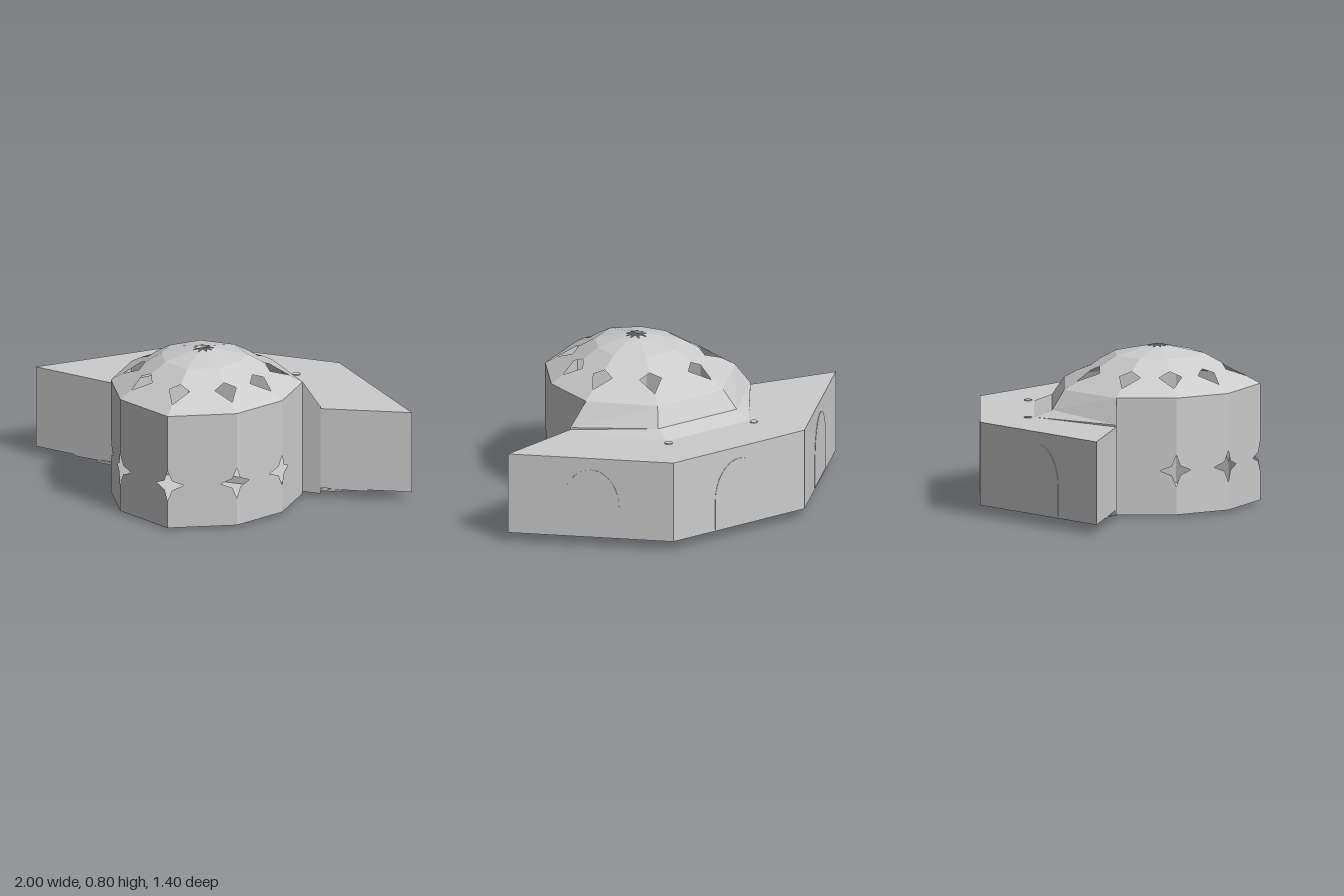
import * as THREE from 'three';

const stone = new THREE.MeshStandardMaterial({ color: 0xcccccc, flatShading: true, side: THREE.DoubleSide });
stone.name = 'pale stone';

const FULL = [[0, 0], [1, 0], [1, 1], [0, 1]];
const V = (x, y, z) => new THREE.Vector3(x, y, z);
const toShape = pts => new THREE.Shape(pts.map(p => new THREE.Vector2(p[0], p[1])));

// Flat panel: an outline in unit coordinates stretched over the corners a, b (bottom) and c, d (top)
function panel(name, a, b, c, d, outline = FULL) {
  const geo = new THREE.ShapeGeometry(toShape(outline));
  const pos = geo.attributes.position;
  for (let i = 0; i < pos.count; i++) {
    const s = pos.getX(i), t = pos.getY(i);
    const p = a.clone().lerp(b, s).lerp(d.clone().lerp(c, s), t);
    pos.setXYZ(i, p.x, p.y, p.z);
  }
  geo.computeVertexNormals();
  const mesh = new THREE.Mesh(geo, stone);
  mesh.name = name;
  return mesh;
}

// Horizontal slab from a plan outline given as [x, z]
function slab(name, plan, y0, y1) {
  const geo = new THREE.ExtrudeGeometry(toShape(plan.map(([x, z]) => [x, -z])), { depth: y1 - y0, bevelEnabled: false });
  geo.rotateX(-Math.PI / 2);
  geo.translate(0, y0, 0);
  const mesh = new THREE.Mesh(geo, stone);
  mesh.name = name;
  return mesh;
}

// Complete a right-hand plan by mirroring it in x
const mirrored = half => [...half, ...half.slice().reverse().map(([x, z]) => [-x, z])];

export function createModel() {
  const model = new THREE.Group();
  model.name = 'domedHall';
  const add = (...m) => model.add(...m);

  // Nine-sided plan, counterclockwise from the front point
  const plan = [[0, 0.7], [0.31, 0.54], [0.455, 0.28], [0.455, -0.02], [0.2, -0.28],
    [-0.2, -0.28], [-0.455, -0.02], [-0.455, 0.28], [-0.31, 0.54]];
  const cz = 0.19;
  const at = (i, r, y) => V(plan[i % 9][0] * r, y, cz + (plan[i % 9][1] - cz) * r);

  for (let i = 0; i < 9; i++) {
    const j = (i + 1) % 9;
    const len = at(i, 1, 0).distanceTo(at(j, 1, 0));

    // Outer walls, each cut by half a four-pointed star at its corners
    if (i < 3 || i > 5) {
      const w = 0.082 / len, n = 0.022 / len, h = 0.59;
      const mid = 0.222 / h, tip = 0.08 / h, q = 0.024 / h;
      const star = [[0, mid - tip], [n, mid - q], [w, mid], [n, mid + q], [0, mid + tip]];
      const left = i === 6 ? [] : star.slice().reverse();
      const right = i === 2 ? [] : star.map(([s, t]) => [1 - s, t]);
      add(panel('hallWall', at(i, 1, 0.01), at(j, 1, 0.01), at(j, 1, 0.6), at(i, 1, 0.6),
        [[0, 0], [1, 0], ...right, [1, 1], [0, 1], ...left]));
    }

    // Lower dome, with a kite window over every ridge
    const k = 0.062 / (len * 0.73);
    add(panel('domePanel', at(i, 1, 0.6), at(j, 1, 0.6), at(j, 0.45, 0.755), at(i, 0.45, 0.755),
      [[0, 0], [1, 0], [1, 0.25], [1 - k, 0.52], [1, 0.68], [1, 1], [0, 1], [0, 0.68], [k, 0.52], [0, 0.25]]));

    // Dome cap around a star-shaped skylight
    const apex = V(0, 0.805, cz);
    add(panel('domeCap', at(i, 0.45, 0.755), at(j, 0.45, 0.755), apex, apex,
      [[0, 0], [1, 0], [1, 0.74], [0.5, 0.87], [0, 0.74]]));
  }

  // Sloping skirt joining the dome to the wing roof
  const top = mirrored([[0.455, -0.02], [0.2, -0.28]]);
  const mid = mirrored([[0.55, -0.02], [0.24, -0.34]]);
  const low = mirrored([[0.55, -0.02], [0.25, -0.43]]);
  const midY = [0.48, 0.505, 0.505, 0.48];
  for (let i = 0; i < 3; i++) {
    const p = (ring, n, y) => V(ring[n][0], y, ring[n][1]);
    const m0 = p(mid, i, midY[i]), m1 = p(mid, i + 1, midY[i + 1]);
    add(panel('upperSkirt', m0, m1, p(top, i + 1, 0.6), p(top, i, 0.6)));
    add(panel('lowerSkirt', p(low, i, 0.47), p(low, i + 1, 0.47), m1, m0));
  }

  // Wing walls, with thin arches on the three rear faces
  const wing = mirrored([[0.55, -0.02], [1, -0.12], [0.4, -0.7]]);
  for (let i = 0; i < 5; i++) {
    const [a, b] = [wing[i], wing[i + 1]];
    const P = (q, y) => V(q[0], y, q[1]);
    add(panel('wingWall', P(a, 0.05), P(b, 0.05), P(b, 0.47), P(a, 0.47)));
    if (i < 1 || i > 3) continue;
    const arch = new THREE.Shape();
    arch.moveTo(-0.145, 0.06);
    arch.lineTo(0.145, 0.06);
    arch.lineTo(0.145, 0.21);
    arch.absellipse(0, 0.21, 0.145, 0.2, 0, Math.PI);
    arch.closePath();
    const plate = new THREE.Mesh(new THREE.ExtrudeGeometry(arch, { depth: 0.002, bevelEnabled: false, curveSegments: 8 }), stone);
    plate.position.set((a[0] + b[0]) / 2, 0, (a[1] + b[1]) / 2);
    plate.rotation.y = Math.atan2(-(b[1] - a[1]), b[0] - a[0]);
    plate.name = 'archPlate';
    add(plate);
  }

  // Wing roof, open beneath the skirt
  add(slab('wingRoof', [...wing, ...low.slice(1, 3).reverse()], 0.466, 0.47));

  for (const s of [-1, 1]) {
    // Walls closing the ends of the skirt
    add(panel('endWall', V(s * 0.455, 0.02, -0.02), V(s * 0.55, 0.02, -0.02),
      V(s * 0.55, 0.48, -0.02), V(s * 0.455, 0.6, -0.02)));
    // Small column heads on the roof
    const head = new THREE.Mesh(new THREE.CylinderGeometry(0.02, 0.02, 0.43, 12), stone);
    head.position.set(s * 0.26, 0.26, -0.46);
    head.name = 'column';
    add(head);
  }

  // Stepped floors, lowest in the hall
  add(slab('hallFloor', plan, 0.01, 0.02));
  add(slab('firstStep', mid, 0.02, 0.033));
  add(slab('secondStep', mirrored([[0.5, -0.02], [0.65, -0.042], [0.28, -0.43]]), 0.033, 0.043));
  add(slab('thirdStep', mirrored([[0.5, -0.02], [0.78, -0.071], [0.32, -0.5]]), 0.043, 0.05));
  add(slab('wingFloor', wing, 0.05, 0.055));

  // Round base under the hall
  const base = new THREE.Mesh(new THREE.CylinderGeometry(0.185, 0.185, 0.01, 24), stone);
  base.position.set(0, 0.005, 0.18);
  base.name = 'roundBase';
  add(base);

  return model;
}
